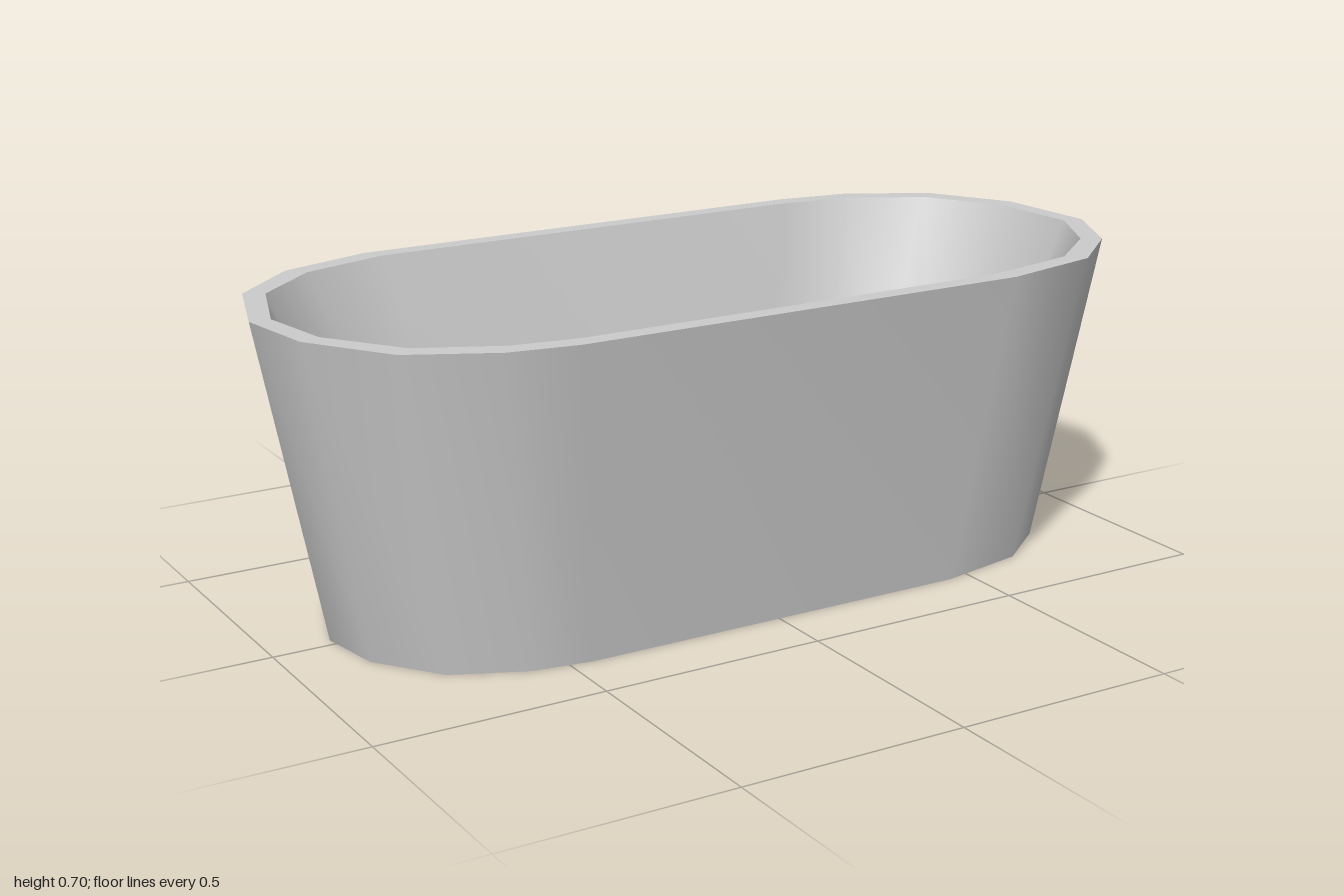
import * as THREE from 'three';

// Rim outline as x, z pairs, going round the tub
const OUTLINE = [
  [-1, -0.03], [-0.93, -0.25], [-0.78, -0.39], [-0.57, -0.455],
  [0.52, -0.455], [0.69, -0.43], [0.87, -0.33], [0.98, -0.15],
  [1, 0.09], [0.91, 0.27], [0.76, 0.4], [0.52, 0.455],
  [-0.52, 0.455], [-0.67, 0.43], [-0.85, 0.34], [-0.97, 0.16],
];
const N = OUTLINE.length;

// Outline scaled to a half-length and half-width at height y
const ring = (halfX, halfZ, y) =>
  OUTLINE.map(([x, z]) => [x * halfX, y, (z / 0.455) * halfZ]);

// Round ring with the same number of points, for the drain
const circle = (radius, y) =>
  OUTLINE.map((_, i) => {
    const a = Math.PI + (i / N) * Math.PI * 2;
    return [Math.cos(a) * radius, y, Math.sin(a) * radius];
  });

// Smooth skin joining consecutive rings
function skin(name, rings, color = 0xcccccc) {
  const index = [];
  for (let r = 0; r < rings.length - 1; r++) {
    for (let i = 0; i < N; i++) {
      const a0 = r * N + i, a1 = r * N + ((i + 1) % N);
      index.push(a0, a1 + N, a1, a0, a0 + N, a1 + N);
    }
  }
  const geometry = new THREE.BufferGeometry();
  geometry.setAttribute('position', new THREE.Float32BufferAttribute(rings.flat(2), 3));
  geometry.setIndex(index);
  geometry.computeVertexNormals();
  const mesh = new THREE.Mesh(geometry, new THREE.MeshStandardMaterial({ color }));
  mesh.name = name;
  return mesh;
}

export function createModel() {
  const tub = new THREE.Group();
  tub.name = 'bathtub';

  const foot = ring(0.865, 0.355, 0);
  const rimOuter = ring(1, 0.455, 0.7);
  const rimInner = ring(0.955, 0.412, 0.7);
  const floorEdge = ring(0.715, 0.27, 0.12);
  const drainEdge = circle(0.043, 0.1);

  tub.add(
    skin('outerWall', [foot, rimOuter]),
    skin('rim', [rimOuter, rimInner]),
    skin('innerWall', [rimInner, floorEdge]),
    // floor falls gently towards the drain
    skin('floor', [floorEdge, drainEdge]),
    // short dark well closed at the bottom
    skin('drain', [drainEdge, circle(0.043, 0.04), circle(0, 0.04)], 0x0a0a0a),
    skin('underside', [circle(0, 0), foot]),
  );
  return tub;
}
